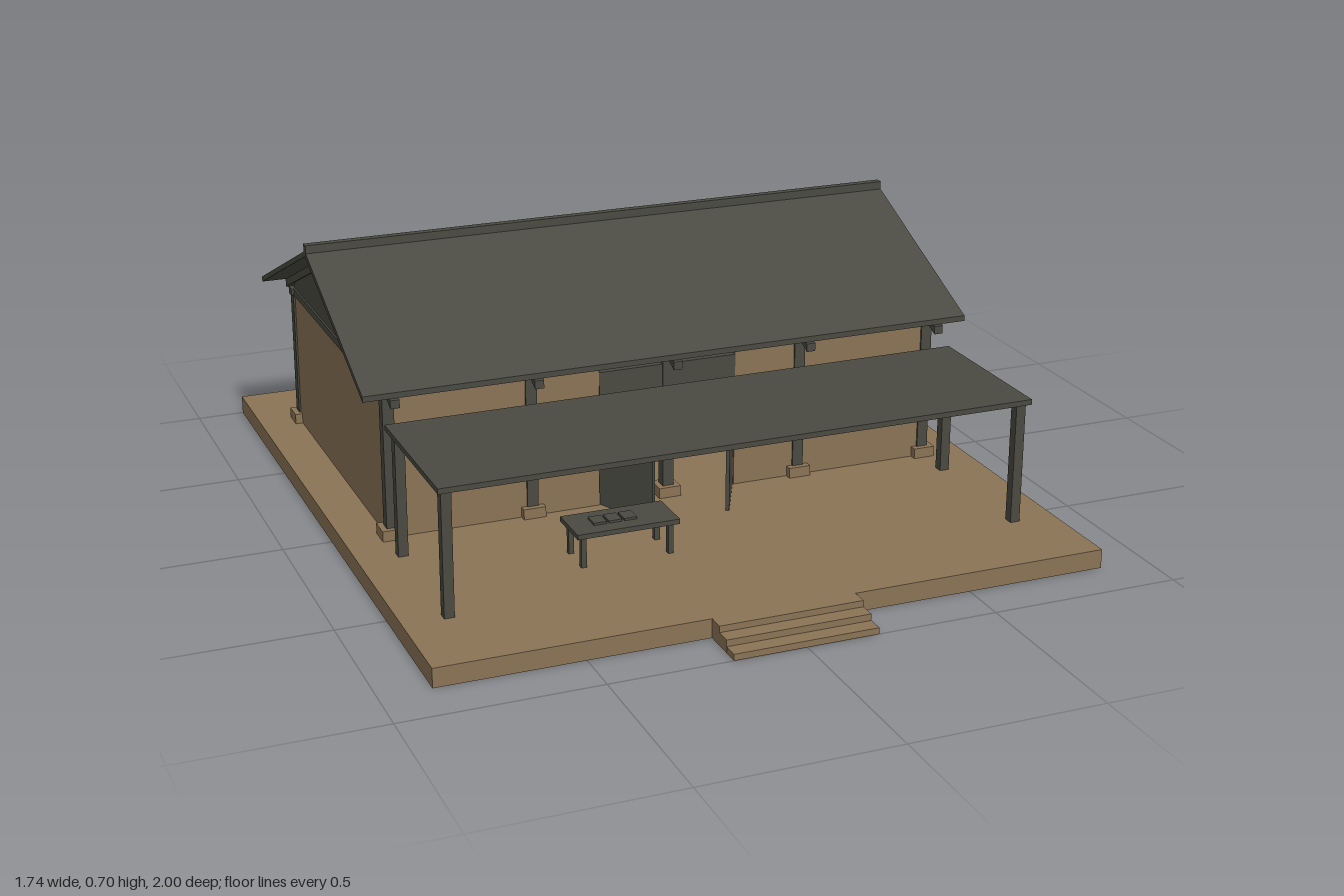
import * as THREE from 'three';

export function createModel() {
  const group = new THREE.Group();
  const material = (name, color) => {
    const m = new THREE.MeshStandardMaterial({ color });
    m.name = name;
    return m;
  };
  const earth = material('earth', 0x8b7355);
  const timber = material('dark timber', 0x4a4a42);

  const add = (name, geometry, mat) => {
    const mesh = new THREE.Mesh(geometry, mat);
    mesh.name = name;
    group.add(mesh);
    return mesh;
  };
  // Box given by its lower and upper limits on each axis
  const box = (name, mat, x0, x1, y0, y1, z0, z1) => {
    const mesh = add(name, new THREE.BoxGeometry(x1 - x0, y1 - y0, z1 - z0), mat);
    mesh.position.set((x0 + x1) / 2, (y0 + y1) / 2, (z0 + z1) / 2);
    return mesh;
  };
  // Upright square post centred on x, z
  const post = (name, mat, x, z, w, y0, y1) =>
    box(name, mat, x - w / 2, x + w / 2, y0, y1, z - w / 2, z + w / 2);
  // Profile of [z, y] points, extruded along x
  const profile = (name, points, width, x) => {
    const shape = new THREE.Shape(points.map(([z, y]) => new THREE.Vector2(z, y)));
    const geometry = new THREE.ExtrudeGeometry(shape, { depth: width, bevelEnabled: false });
    geometry.translate(0, 0, -width / 2).rotateY(-Math.PI / 2);
    add(name, geometry, timber).position.x = x;
  };

  const floor = 0.05, mid = -0.313, front = 0.13, back = -0.756;
  const bays = [-0.75, -0.375, 0, 0.375, 0.75];

  // Platform and entrance steps
  box('platform', earth, -0.872, 0.872, 0, floor, -1, 0.872);
  [0.915, 0.957, 1].forEach((z, i) =>
    box('step', earth, -0.187, 0.187, 0, floor * (3 - i) / 3, i ? 0.872 + i * 0.043 : 0.872, z));

  // Walls, leaving a doorway in the front
  box('backWall', earth, -0.75, 0.75, floor, 0.43, back - 0.01, back + 0.01);
  for (const s of [-1, 1]) {
    const x = s * 0.75;
    box('sideWall', earth, x - 0.01, x + 0.01, floor, 0.43, back, front);
    box('frontWall', earth, Math.min(s * 0.19, x), Math.max(s * 0.19, x), floor, 0.43, front - 0.01, front + 0.01);
    box('sideBeam', timber, x - 0.013, x + 0.013, 0.425, 0.445, back - 0.01, front + 0.01);
  }
  box('doorLintel', timber, -0.19, 0.19, 0.35, 0.417, front - 0.012, front + 0.012);

  // Columns on footings, with beams along the eaves
  for (const z of [front, back]) {
    for (const x of bays) {
      post('footing', earth, x, z, 0.06, floor, 0.078);
      post('column', timber, x, z, 0.03, 0.078, 0.445);
    }
    box('eaveBeam', timber, -0.77, 0.77, 0.425, 0.445, z - 0.014, z + 0.014);
  }

  // Door leaves, standing open towards the yard
  for (const s of [-1, 1]) {
    const leaf = box('doorLeaf', timber, -0.005, 0.005, floor, 0.345, -0.095, 0.095);
    leaf.position.x = s * 0.145;
    leaf.position.z = 0.213;
    leaf.rotation.y = -s * 0.46;
  }

  // Gable roof, rafters and gable panels
  const apex = 0.685, slope = 0.43;
  const chevron = (half, top, thick) => {
    const y = top - half * slope;
    return [[mid - half, y], [mid - half, y - thick], [mid, top - thick],
      [mid + half, y - thick], [mid + half, y], [mid, top]];
  };
  profile('roof', chevron(0.518, apex, 0.015), 1.66, 0);
  for (const x of bays) profile('rafter', chevron(0.524, apex - 0.015, 0.022), 0.024, x);
  for (const s of [-1, 1])
    profile('gable', [[back, 0.445], [front, 0.445], [front, 0.478], [mid, 0.668], [back, 0.478]], 0.016, s * 0.75);
  box('ridgeCap', timber, -0.83, 0.83, 0.678, 0.702, mid - 0.011, mid + 0.011);

  // Porch canopy on four posts
  box('canopy', timber, -0.78, 0.78, 0.372, 0.386, 0.215, 0.652);
  for (const x of [-0.757, 0.757])
    for (const z of [0.25, 0.627]) post('canopyPost', timber, x, z, 0.026, floor, 0.372);

  // Table with three small slabs on top
  box('tableTop', timber, -0.385, -0.115, 0.131, 0.144, 0.377, 0.503);
  for (const x of [-0.365, -0.135])
    for (const z of [0.395, 0.485]) post('tableLeg', timber, x, z, 0.014, floor, 0.131);
  for (const x of [-0.31, -0.27, -0.23])
    box('tableSlab', timber, x - 0.017, x + 0.017, 0.144, 0.15, 0.418, 0.462);

  return group;
}
